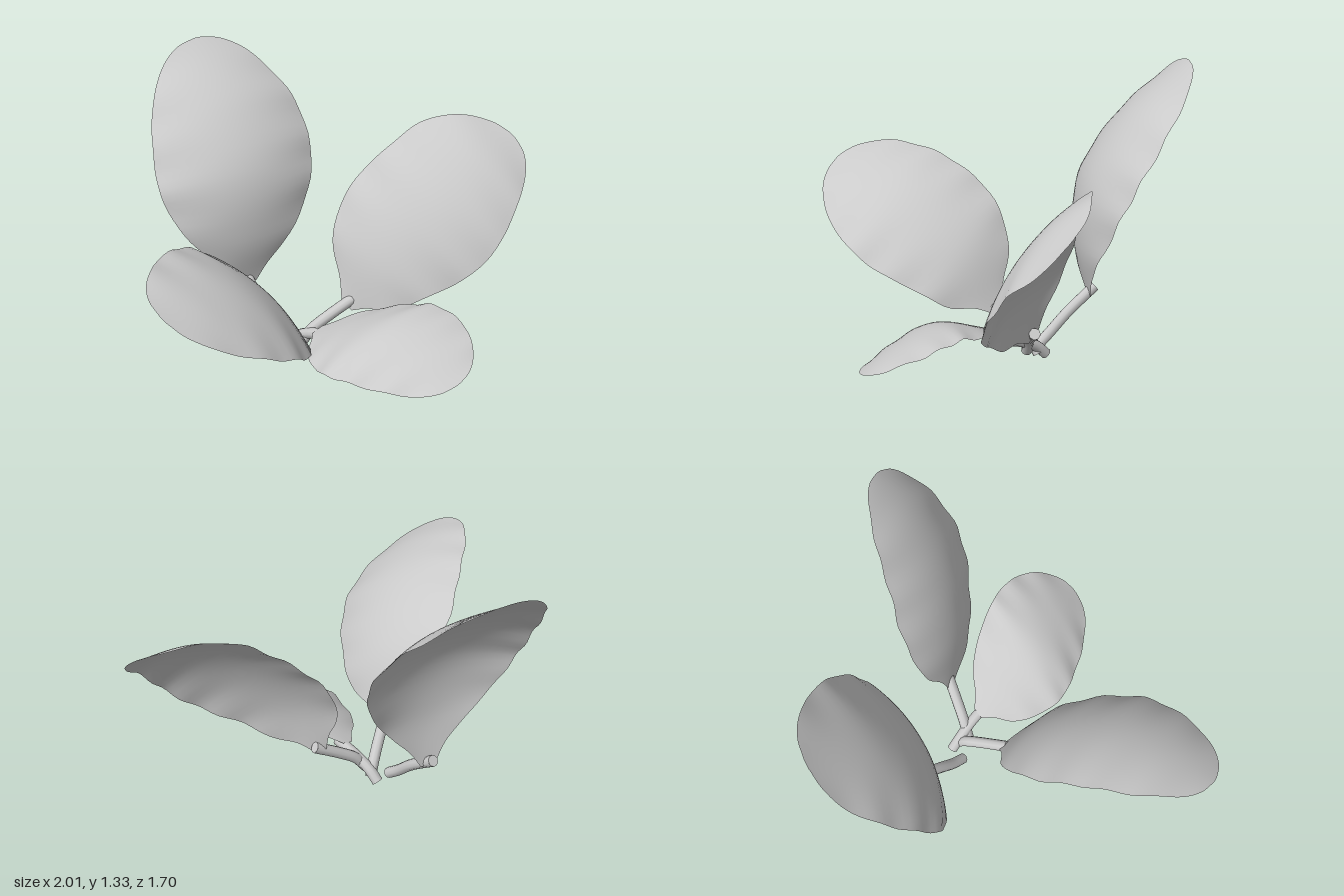
import * as THREE from 'three';

const leafGrey = new THREE.MeshStandardMaterial({ color: 0xcacaca, side: THREE.DoubleSide });
leafGrey.name = 'leaf grey';

const curve = (pts) => new THREE.CatmullRomCurve3(pts.map((p) => new THREE.Vector3(...p)));

// Relative half width along the blade as [position, width]; root sets how fast it broadens
const outlineFor = (root) => curve([
  [0, 0.1, 0], [0.06, 0.06 + root * 0.35, 0], [0.14, root, 0], [0.27, 0.7 + root * 0.22, 0], [0.42, 0.98, 0],
  [0.55, 1, 0], [0.7, 0.93, 0], [0.82, 0.78, 0], [0.92, 0.56, 0], [0.98, 0.3, 0], [1, 0.05, 0],
]);

// Blade: a bowed sheet swept along its midrib, edges drooping and gently rippled
function bladeGeometry({ rib, across, half, cup, root, phase }) {
  const ROWS = 44, COLS = 20;
  const path = curve(rib);
  const outline = outlineFor(root);
  const side = new THREE.Vector3(...across).normalize();
  const positions = [], index = [];
  for (let i = 0; i <= ROWS; i++) {
    const o = outline.getPoint(i / ROWS);
    const t = THREE.MathUtils.clamp(o.x, 0, 1);
    const centre = path.getPointAt(t);
    const up = side.clone().cross(path.getTangentAt(t)).normalize();
    for (let j = 0; j <= COLS; j++) {
      const u = (j / COLS) * 2 - 1;
      const ripple = 0.006 * u * u * Math.sin(t * 34 + phase + Math.sign(u) * 1.3);
      const lift = (ripple - cup * u * u * o.y) * o.y;
      const p = centre.clone().addScaledVector(side, u * half * o.y).addScaledVector(up, lift);
      positions.push(p.x, p.y, p.z);
      if (i < ROWS && j < COLS) {
        const a = i * (COLS + 1) + j, b = a + COLS + 1;
        index.push(a, a + 1, b, a + 1, b + 1, b);
      }
    }
  }
  const g = new THREE.BufferGeometry();
  g.setAttribute('position', new THREE.Float32BufferAttribute(positions, 3));
  g.setIndex(index);
  g.computeVertexNormals();
  return g;
}

// Stem: a short curved tube with closed ends
function makeStem(points, radius) {
  const stem = new THREE.Group();
  stem.name = 'stem';
  const path = curve(points);
  const tube = new THREE.Mesh(new THREE.TubeGeometry(path, 12, radius, 10), leafGrey);
  tube.name = 'stemTube';
  stem.add(tube);
  for (const t of [0, 1]) {
    const cap = new THREE.Mesh(new THREE.CircleGeometry(radius, 10), leafGrey);
    cap.name = 'stemEnd';
    const p = path.getPointAt(t);
    cap.position.copy(p);
    cap.lookAt(p.clone().addScaledVector(path.getTangentAt(t), t ? 1 : -1));
    stem.add(cap);
  }
  return stem;
}

const leaves = [
  {
    name: 'backLeaf', across: [0.74, 0.06, 0.2], half: 0.38, cup: 0.1, root: 0.48, phase: 0.4,
    rib: [[-0.01, 0.24, -0.38], [-0.035, 0.5, -0.33], [-0.04, 0.79, -0.36], [0.0, 1.07, -0.53], [0.05, 1.33, -0.84]],
    stem: [[-0.03, 0.03, -0.12], [-0.03, 0.08, -0.18], [-0.02, 0.17, -0.27], [-0.01, 0.28, -0.41]],
  },
  {
    name: 'rightLeaf', across: [-0.22, 0.45, -0.87], half: 0.345, cup: 0.07, root: 0.62, phase: 2.1,
    rib: [[-0.15, 0.2, 0.03], [-0.265, 0.48, 0.15], [-0.52, 0.685, 0.33], [-0.78, 0.76, 0.42], [-1, 0.78, 0.46]],
    stem: [[0.05, 0.03, -0.08], [0.01, 0.09, -0.06], [-0.06, 0.14, -0.02], [-0.17, 0.21, 0.04]],
  },
  {
    name: 'leftLeaf', across: [0.22, -0.58, 0.8], half: 0.347, cup: 0.07, root: 0.62, phase: 3.6,
    rib: [[0.24, 0.22, 0.05], [0.325, 0.48, 0.14], [0.56, 0.75, 0.28], [0.78, 0.92, 0.31], [1, 0.97, 0.31]],
    stem: [[0.03, 0.05, -0.03], [0.08, 0.12, -0.01], [0.16, 0.18, 0.02], [0.27, 0.25, 0.06]],
  },
  {
    name: 'frontLeaf', across: [-0.94, -0.33, -0.05], half: 0.287, cup: 0.06, root: 0.58, phase: 5.2,
    rib: [[0.06, 0.16, 0.06], [0.075, 0.25, 0.25], [0.1, 0.32, 0.45], [0.16, 0.285, 0.66], [0.2, 0.205, 0.84]],
    stem: [[0.045, 0.02, -0.12], [0.05, 0.07, -0.07], [0.06, 0.115, 0.01], [0.07, 0.15, 0.12]],
  },
];

export function createModel() {
  const plant = new THREE.Group();
  plant.name = 'leafCluster';
  for (const spec of leaves) {
    const leaf = new THREE.Group();
    leaf.name = spec.name;
    const blade = new THREE.Mesh(bladeGeometry(spec), leafGrey);
    blade.name = 'blade';
    leaf.add(blade, makeStem(spec.stem, 0.026));
    plant.add(leaf);
  }
  return plant;
}
